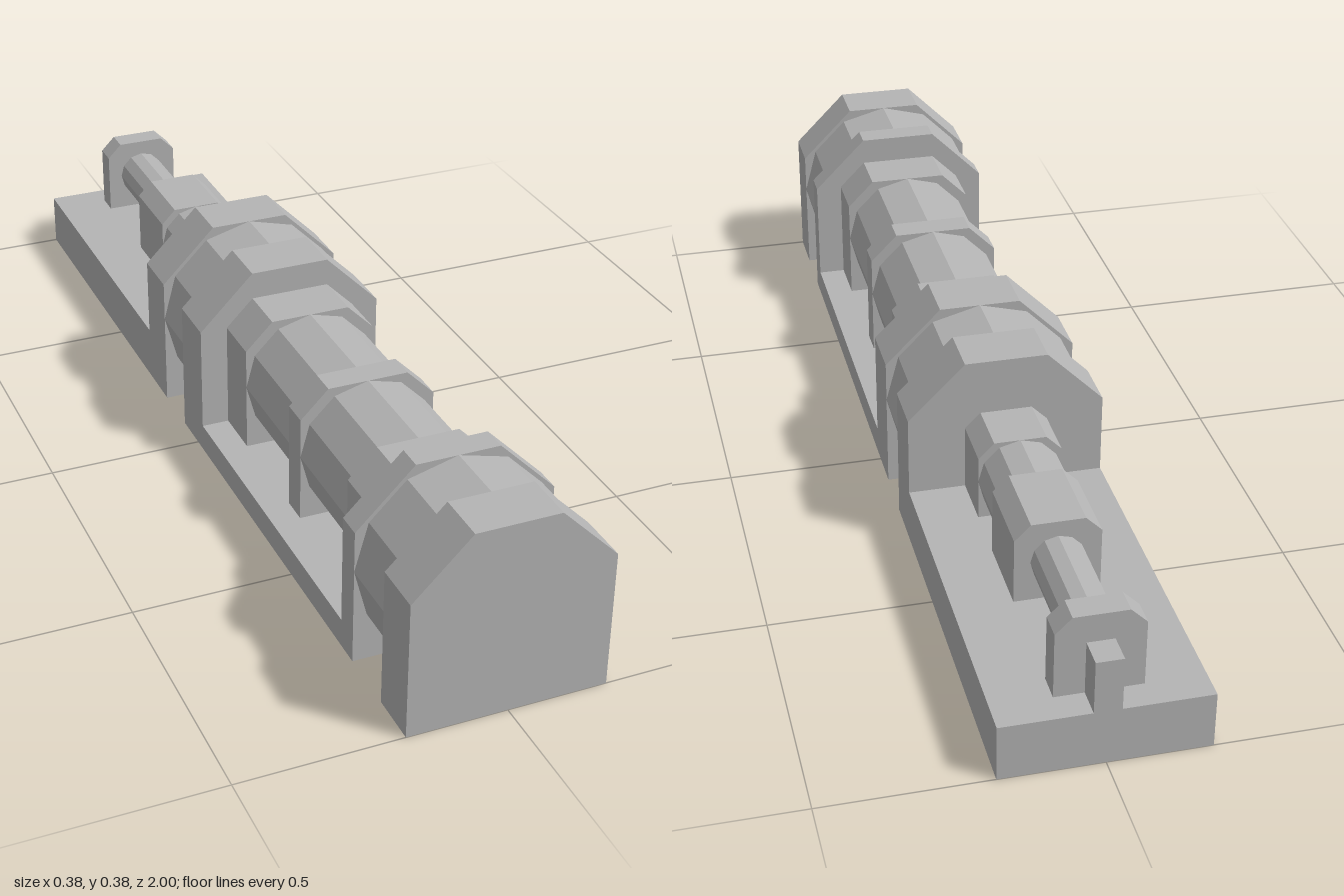
import * as THREE from 'three';

const AXIS = 0.19; // height of the shaft line

export function createModel() {
  const model = new THREE.Group();
  model.name = 'machineTrain';
  const grey = new THREE.MeshStandardMaterial({ color: 0xb4b4b4, flatShading: true });
  grey.name = 'plain grey';

  const add = (name, geometry, x, y, z) => {
    const mesh = new THREE.Mesh(geometry, grey);
    mesh.name = name;
    mesh.position.set(x, y, z);
    model.add(mesh);
  };

  // Block with chamfered top edges, running from zBack to zFront
  const housing = (name, half, bottom, top, chamfer, zBack, zFront) => {
    const shape = new THREE.Shape([
      [-half, bottom], [half, bottom], [half, top - chamfer],
      [half - chamfer, top], [chamfer - half, top], [-half, top - chamfer],
    ].map(([x, y]) => new THREE.Vector2(x, y)));
    add(name, new THREE.ExtrudeGeometry(shape, { depth: zFront - zBack, bevelEnabled: false }), 0, 0, zBack);
  };

  // Twelve-sided drum along the shaft line
  const drum = (name, radius, zBack, zFront) => {
    const geometry = new THREE.CylinderGeometry(radius, radius, zFront - zBack, 12).rotateX(Math.PI / 2);
    add(name, geometry, 0, AXIS, (zBack + zFront) / 2);
  };

  const box = (name, half, bottom, top, zBack, zFront) =>
    add(name, new THREE.BoxGeometry(half * 2, top - bottom, zFront - zBack), 0, (bottom + top) / 2, (zBack + zFront) / 2);

  // Base plates
  box('middleBase', 0.19, 0, 0.055, 0.03, 0.73);
  box('rearBase', 0.19, 0, 0.11, -1, -0.295);

  // Large housings and the drums between them
  for (const [back, front] of [[0.9, 1], [0.73, 0.78], [-0.08, 0.03], [-0.295, -0.19]])
    housing('largeHousing', 0.19, 0, 0.38, 0.11, back, front);
  drum('frontDrum', 0.19, 0.78, 0.9);
  drum('middleDrum', 0.19, -0.19, -0.08);

  // Medium housings and rollers
  for (const [back, front] of [[0.625, 0.73], [0.355, 0.41], [0.03, 0.135]])
    housing('mediumHousing', 0.135, 0.055, 0.325, 0.055, back, front);
  drum('frontRoller', 0.135, 0.41, 0.625);
  drum('rearRoller', 0.135, 0.135, 0.355);

  // Small housings, coupling and end shaft
  for (const [back, front] of [[-0.405, -0.295], [-0.675, -0.515], [-0.945, -0.895]])
    housing('smallHousing', 0.08, 0.11, 0.27, 0.03, back, front);
  drum('coupling', 0.08, -0.515, -0.405);
  drum('endShaft', 0.05, -0.895, -0.675);
  box('endPost', 0.025, 0.11, 0.215, -1, -0.945);

  return model;
}
